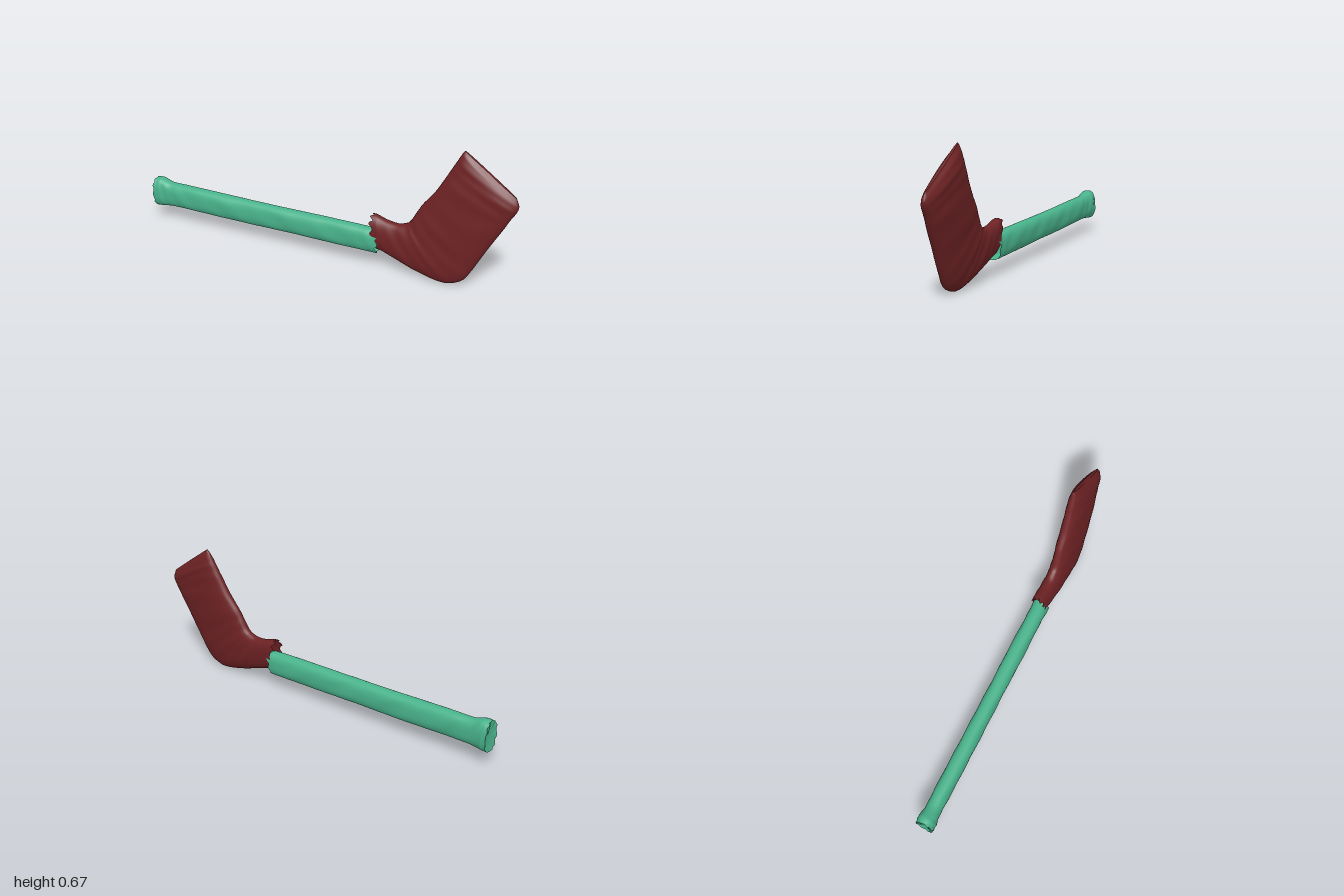
import * as THREE from 'three';

const SIDES = 40;
const V = (x, y, z = 0) => new THREE.Vector3(x, y, z);
const jag = (j) => Math.abs(Math.sin(j * 2.4) + 0.6 * Math.sin(j * 4.1 + 1)) / 1.6;

// Skins rounded sections. Each section: [edge A x, y, edge B x, y, half thickness].
// o.z gives the centre depth, o.ragStart / o.ragEnd tear the open rims,
// o.capStart / o.capEnd close an end with a centre point moved along x.
function loft(sections, steps, o) {
  const curve = (pts) => new THREE.CatmullRomCurve3(pts, false, 'catmullrom', 0.4);
  const edgeA = curve(sections.map((s) => V(s[0], s[1], s[4])));
  const edgeB = curve(sections.map((s) => V(s[2], s[3])));
  const pos = [];
  const index = [];
  const power = 2 / o.square;
  const soft = (c) => Math.sign(c) * Math.abs(c) ** power;
  for (let i = 0; i <= steps; i++) {
    const t = i / steps;
    const a = edgeA.getPoint(t);
    const b = edgeB.getPoint(t);
    for (let j = 0; j < SIDES; j++) {
      const g = (j / SIDES) * Math.PI * 2;
      const u = soft(Math.cos(g));
      const w = soft(Math.sin(g));
      let x = (a.x + b.x) / 2 + ((a.x - b.x) / 2) * u;
      const y = (a.y + b.y) / 2 + ((a.y - b.y) / 2) * u;
      // gentle wrinkles across the broad faces
      const fold = 1 + o.wrinkle * Math.sin(t * 47 + u * 3) * Math.sin(t * 19 + w * 2);
      const z = o.z(x, y) + a.z * w * fold;
      if (i === 0) x -= jag(j) * (o.ragStart || 0);
      if (i === steps) x += jag(j) * (o.ragEnd || 0);
      pos.push(x, y, z);
    }
  }
  for (let i = 0; i < steps; i++) {
    for (let j = 0; j < SIDES; j++) {
      const p = i * SIDES + j;
      const q = i * SIDES + ((j + 1) % SIDES);
      index.push(p, q, p + SIDES, q, q + SIDES, p + SIDES);
    }
  }
  // caps use their own rim so the edge stays crisp
  const cap = (i, shift, flip) => {
    const base = pos.length / 3;
    const mid = [0, 0, 0];
    for (let j = 0; j < SIDES; j++) {
      for (let k = 0; k < 3; k++) {
        const v = pos[(i * SIDES + j) * 3 + k];
        pos.push(v);
        mid[k] += v / SIDES;
      }
    }
    pos.push(mid[0] + shift, mid[1], mid[2]);
    for (let j = 0; j < SIDES; j++) {
      const p = base + j;
      const q = base + ((j + 1) % SIDES);
      index.push(base + SIDES, flip ? q : p, flip ? p : q);
    }
  };
  if (o.capStart !== undefined) cap(0, o.capStart, true);
  if (o.capEnd !== undefined) cap(steps, o.capEnd, false);
  const geo = new THREE.BufferGeometry();
  geo.setAttribute('position', new THREE.Float32BufferAttribute(pos, 3));
  geo.setIndex(index);
  geo.computeVertexNormals();
  const mat = new THREE.MeshStandardMaterial({ color: o.color, side: THREE.DoubleSide });
  const mesh = new THREE.Mesh(geo, mat);
  mesh.name = o.name;
  return mesh;
}

export function createModel() {
  const group = new THREE.Group();
  group.name = 'bentStick';

  // long straight shaft, flared at the grip end, torn open at the joint
  const shaft = [
    [-0.99, 0.235, -0.99, 0.075, 0.046],
    [-0.96, 0.235, -0.96, 0.078, 0.046],
    [-0.9, 0.218, -0.9, 0.085, 0.04],
    [-0.8, 0.216, -0.8, 0.086, 0.04],
    [-0.6, 0.212, -0.6, 0.082, 0.042],
    [-0.4, 0.208, -0.4, 0.08, 0.04],
    [-0.2, 0.206, -0.2, 0.08, 0.041],
    [0.0, 0.205, 0.0, 0.077, 0.041],
    [0.2, 0.203, 0.2, 0.075, 0.041],
    [0.295, 0.2, 0.295, 0.075, 0.041],
  ];
  group.add(loft(shaft, 90, {
    name: 'handle', color: 0x49b38c, square: 2.5, wrinkle: 0.05,
    z: (x) => 0.006 - 0.018 * x, ragStart: 0.01, ragEnd: 0.025, capStart: 0.012,
  }));

  // flat blade: torn neck, rounded heel, then the broad upturned paddle
  const paddle = [
    [0.285, 0.275, 0.315, 0.1, 0.038],
    [0.35, 0.255, 0.4, 0.072, 0.04],
    [0.41, 0.25, 0.5, 0.037, 0.042],
    [0.455, 0.265, 0.6, 0.011, 0.044],
    [0.475, 0.285, 0.68, 0.004, 0.045],
    [0.5, 0.33, 0.755, 0.035, 0.045],
    [0.53, 0.38, 0.8, 0.1, 0.045],
    [0.585, 0.45, 0.86, 0.21, 0.046],
    [0.635, 0.535, 0.93, 0.33, 0.045],
    [0.665, 0.59, 0.96, 0.385, 0.041],
    [0.685, 0.625, 0.985, 0.425, 0.039],
    [0.703, 0.658, 0.994, 0.455, 0.028],
    [0.716, 0.676, 0.98, 0.495, 0.008],
  ];
  group.add(loft(paddle, 84, {
    name: 'blade', color: 0x6e2224, square: 2.4, wrinkle: 0.05,
    z: (x, y) => 0.012 - 0.075 * y, ragStart: 0.03, capEnd: 0.003,
  }));

  return group;
}
